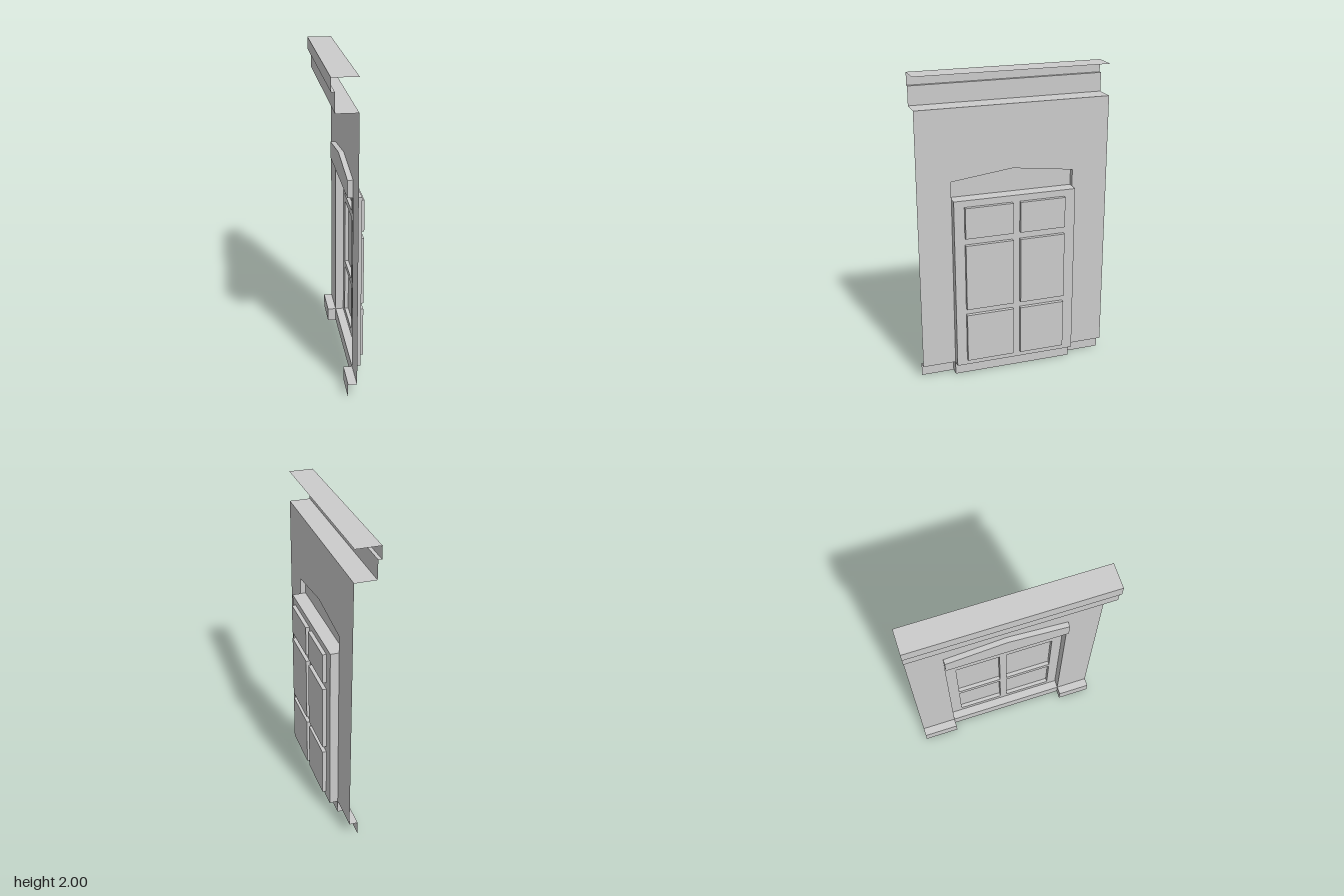
import * as THREE from 'three';

const WALL = 0.037, BACK = 0.092, PANE = 0.117; // x of wall, window frame and glass
const Z = 0.625, Z0 = -0.39, Z1 = 0.408;        // wall half width, opening sides
const SILL = 0.09, HEAD = 1.23;

const material = new THREE.MeshStandardMaterial({ color: 0xcccccc, side: THREE.DoubleSide });

function mesh(name, geometry) {
  const m = new THREE.Mesh(geometry, material);
  m.name = name;
  return m;
}

// Flat panel at a given x, outlined by [z, y] corners and facing -x
function panel(name, x, outline, holes = []) {
  const toPoints = (list) => list.map(([z, y]) => new THREE.Vector2(z, y));
  const shape = new THREE.Shape(toPoints(outline));
  shape.holes = holes.map((h) => new THREE.Path(toPoints(h)));
  return mesh(name, new THREE.ShapeGeometry(shape).rotateY(-Math.PI / 2).translate(x, 0, 0));
}

// Open folded sheet: a path of [x, y, z] points swept along an offset
function sweep(name, path, offset) {
  const o = new THREE.Vector3(...offset);
  const points = [];
  for (let i = 0; i + 1 < path.length; i++) {
    const p = new THREE.Vector3(...path[i]), q = new THREE.Vector3(...path[i + 1]);
    const r = q.clone().add(o), s = p.clone().add(o);
    points.push(p, q, r, p, r, s);
  }
  const g = new THREE.BufferGeometry().setFromPoints(points);
  g.computeVertexNormals();
  return mesh(name, g);
}

// Side faces of an outline between two x positions
function rim(name, outline, x0, x1) {
  const path = [...outline, outline[0]].map(([z, y]) => [x0, y, z]);
  return sweep(name, path, [x1 - x0, 0, 0]);
}

const rect = (z0, z1, y0, y1) => [[z0, y0], [z1, y0], [z1, y1], [z0, y1]];

export function createModel() {
  const model = new THREE.Group();
  model.name = 'windowWall';

  // Wall with an opening for window and lintel
  const gable = [[Z1, 1.34], [0.01, 1.39], [Z0, 1.34]];
  model.add(panel('wall', WALL, [
    [-Z, SILL], [Z0, SILL], [Z0, 1.34], [0.01, 1.39], [Z1, 1.34], [Z1, SILL],
    [Z, SILL], [Z, 1.8], [-Z, 1.8],
  ]));

  // Stepped cornice, open at the back and ends
  model.add(sweep('cornice', [
    [WALL, 2, -Z], [-0.12, 2, -Z], [-0.12, 1.92, -Z],
    [-0.098, 1.92, -Z], [-0.098, 1.8, -Z], [WALL, 1.8, -Z],
  ], [0, 0, 2 * Z]));

  // Plinth on both sides of the window, with a return towards the opening
  for (const [z0, z1, inner] of [[-Z, Z0, Z0], [Z1, Z, Z1]]) {
    const plinth = new THREE.Group();
    plinth.name = 'plinth';
    plinth.add(sweep('plinthFace', [
      [WALL, SILL, z0], [-0.018, SILL, z0], [-0.018, 0, z0],
    ], [0, 0, z1 - z0]));
    const dir = inner === Z0 ? 1 : -1;
    const xs = dir > 0 ? [-0.018, WALL] : [WALL, -0.018];
    plinth.add(sweep('plinthReturn', [[xs[0], 0, inner], [xs[1], 0, inner]], [0, SILL, 0]));
    model.add(plinth);
  }
  model.add(panel('apron', WALL, rect(Z0, Z1, 0, SILL)));

  // Gabled lintel
  const lintel = new THREE.Group();
  lintel.name = 'lintel';
  const lintelOutline = [[Z0, HEAD], [Z1, HEAD], ...gable];
  lintel.add(panel('lintelFace', 0.003, lintelOutline));
  lintel.add(rim('lintelSides', lintelOutline, WALL, 0.003));
  model.add(lintel);

  // Recessed window frame with six sunken panes
  const opening = rect(Z0, Z1, SILL, HEAD);
  const panes = [];
  for (const [y0, y1] of [[0.13, 0.457], [0.498, 0.938], [0.985, 1.187]]) {
    for (const [z0, z1] of [[-0.315, -0.018], [0.03, 0.342]]) panes.push(rect(z0, z1, y0, y1));
  }
  const frame = new THREE.Group();
  frame.name = 'windowFrame';
  frame.add(rim('reveal', opening, WALL, BACK));
  frame.add(panel('glazingBars', BACK, opening, panes));
  for (const pane of panes) {
    frame.add(rim('paneReveal', pane, BACK, PANE));
    frame.add(panel('pane', PANE, pane));
  }
  model.add(frame);

  return model;
}
